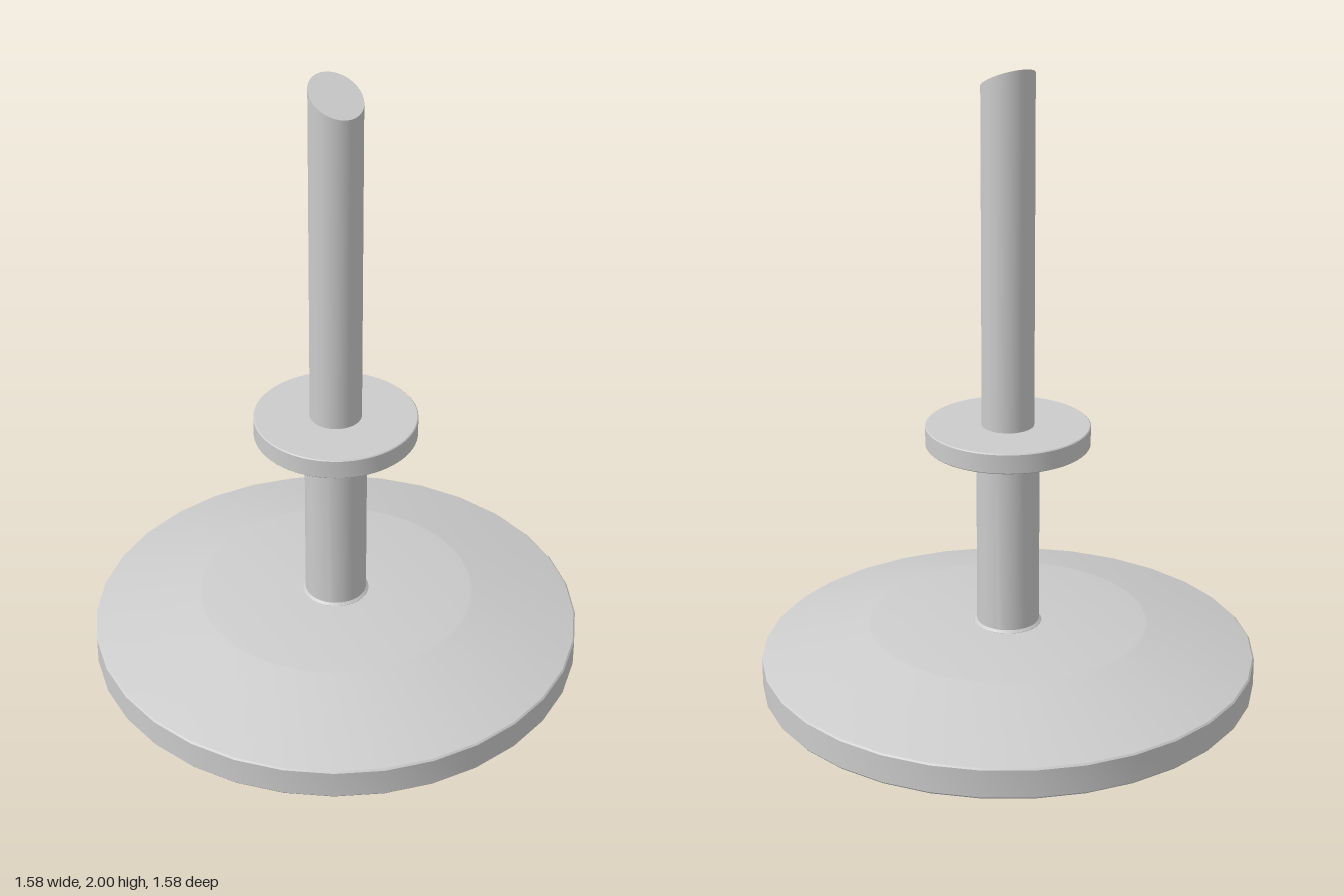
import * as THREE from 'three';
import { toCreasedNormals } from 'three/addons/utils/BufferGeometryUtils.js';

const material = new THREE.MeshStandardMaterial({ color: 0xcccccc });

function part(name, geometry) {
  const mesh = new THREE.Mesh(toCreasedNormals(geometry, 0.22), material);
  mesh.name = name;
  return mesh;
}

// Solid of revolution from [radius, height] pairs, bottom to top
function turned(name, profile, sides) {
  const points = profile.map(([r, y]) => new THREE.Vector2(r, y));
  return part(name, new THREE.LatheGeometry(points, sides));
}

export function createModel() {
  const model = new THREE.Group();

  // Broad foot with a sloping shoulder and a flat top
  model.add(turned('base', [
    [0, 0], [0.785, 0], [0.79, 0.006], [0.79, 0.095], [0.785, 0.1], [0.45, 0.198], [0.44, 0.2], [0, 0.2],
  ], 32));

  // Lower stem, with a small flare where it meets the base
  model.add(turned('lowerStem', [
    [0.108, 0.195], [0.107, 0.201], [0.099, 0.208], [0.099, 0.82],
  ], 48));

  // Round collar between the two stems
  model.add(turned('collar', [
    [0, 0.805], [0.255, 0.805], [0.258, 0.808], [0.258, 0.867], [0.255, 0.87], [0, 0.87],
  ], 64));

  // Upper stem, its top cut on a slant that rises to the back
  const radius = 0.082, bottom = 0.85, low = 1.915, high = 2;
  const stem = new THREE.CylinderGeometry(radius, radius, 1, 48);
  const pos = stem.attributes.position;
  for (let i = 0; i < pos.count; i++) {
    const slant = (low + high) / 2 - (pos.getZ(i) / radius) * (high - low) / 2;
    pos.setY(i, pos.getY(i) > 0 ? slant : bottom);
  }
  model.add(part('upperStem', stem));

  return model;
}
